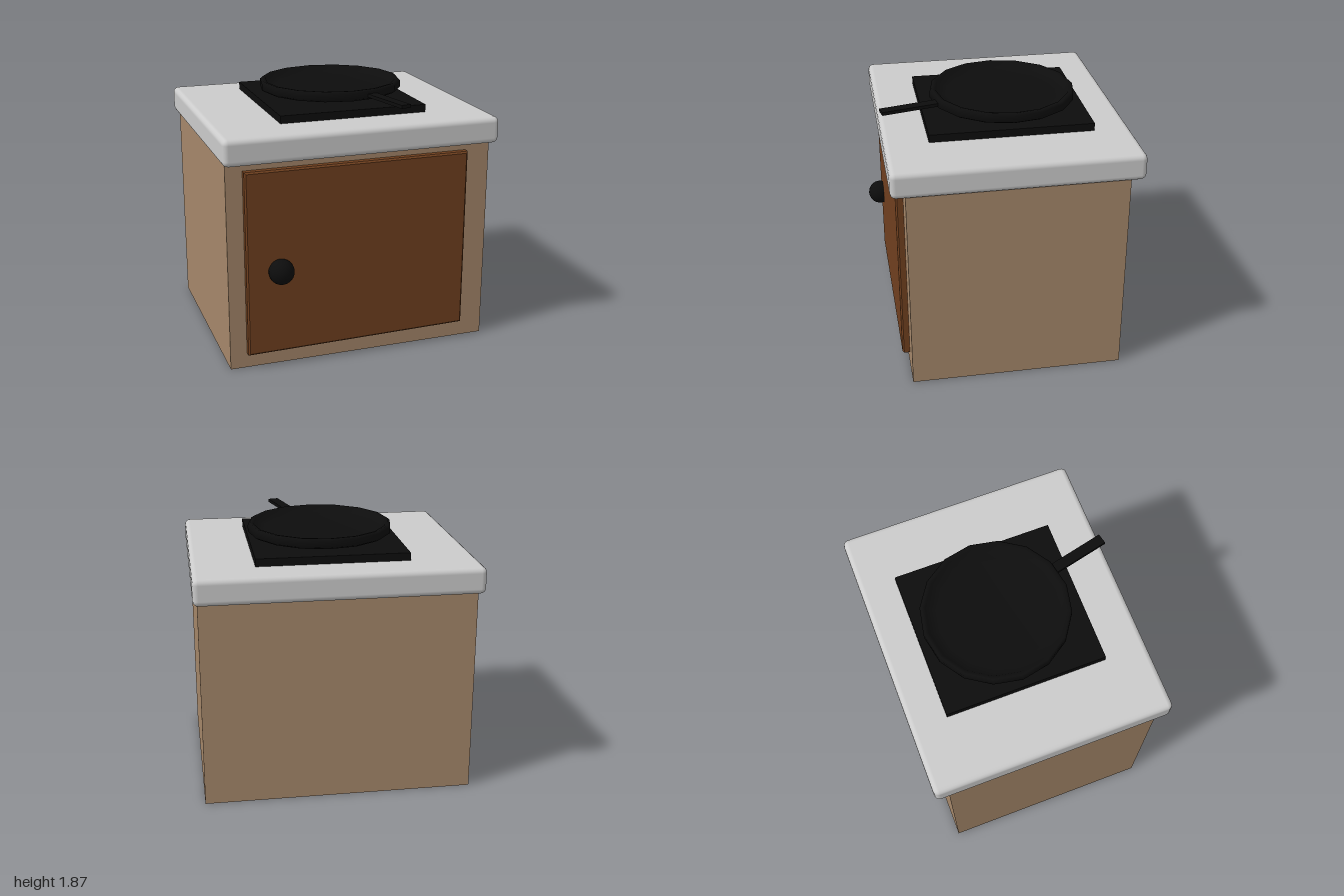
import * as THREE from 'three';
import { RoundedBoxGeometry } from 'three/addons/geometries/RoundedBoxGeometry.js';

const paint = (color) => new THREE.MeshStandardMaterial({ color });

export function createModel() {
  const group = new THREE.Group();
  const wood = paint(0xa5876a);
  const doorWood = paint(0x70401f);
  const black = paint(0x0d0d0d);
  const grey = paint(0xcccccc);

  const add = (name, geometry, material, x, y, z, parent = group) => {
    const mesh = new THREE.Mesh(geometry, material);
    mesh.name = name;
    mesh.position.set(x, y, z);
    parent.add(mesh);
    return mesh;
  };

  // Cabinet and rounded worktop
  add('cabinet', new THREE.BoxGeometry(1.94, 1.52, 1.53), wood, 0, 0.76, -0.035);
  add('worktop', new RoundedBoxGeometry(2, 0.19, 1.73, 2, 0.04), grey, 0, 1.605, -0.035);

  // Door, its lower edge slightly askew, with a small bevel
  const b = 0.012;
  const outline = new THREE.Shape([
    new THREE.Vector2(-0.85 + b, 0.11 + b),
    new THREE.Vector2(0.785 - b, 0.13 + b),
    new THREE.Vector2(0.785 - b, 1.455 - b),
    new THREE.Vector2(-0.85 + b, 1.455 - b),
  ]);
  const door = new THREE.ExtrudeGeometry(outline, {
    depth: 0.05, bevelEnabled: true, bevelSize: b, bevelThickness: b, bevelSegments: 1,
  });
  add('door', door, doorWood, 0, 0, 0.722);
  add('doorKnob', new THREE.SphereGeometry(0.09, 24, 16), black, -0.61, 0.73, 0.81);

  // Square hotplate
  add('hotplate', new THREE.BoxGeometry(1.08, 0.055, 1.16), black, 0.02, 1.7275, -0.06);

  // Frying pan, tipped very slightly backwards
  const pan = new THREE.Group();
  pan.name = 'fryingPan';
  pan.position.set(0.038, 1.79, -0.075);
  pan.rotation.x = -0.008;
  group.add(pan);
  const profile = [
    [0, 0], [0.5, 0], [0.525, 0.015], [0.525, 0.062], [0.51, 0.076],
    [0.485, 0.072], [0.46, 0.035], [0.4, 0.025], [0, 0.025],
  ].map(([r, y]) => new THREE.Vector2(r, y));
  add('panBowl', new THREE.LatheGeometry(profile, 16), black, 0, 0, 0, pan);

  // Flat handle, angled outwards from the pan
  const handle = add('panHandle', new THREE.BoxGeometry(0.075, 0.024, 0.44), black, 0.235, 1.828, 0.605);
  handle.rotation.y = 0.23;

  return group;
}
